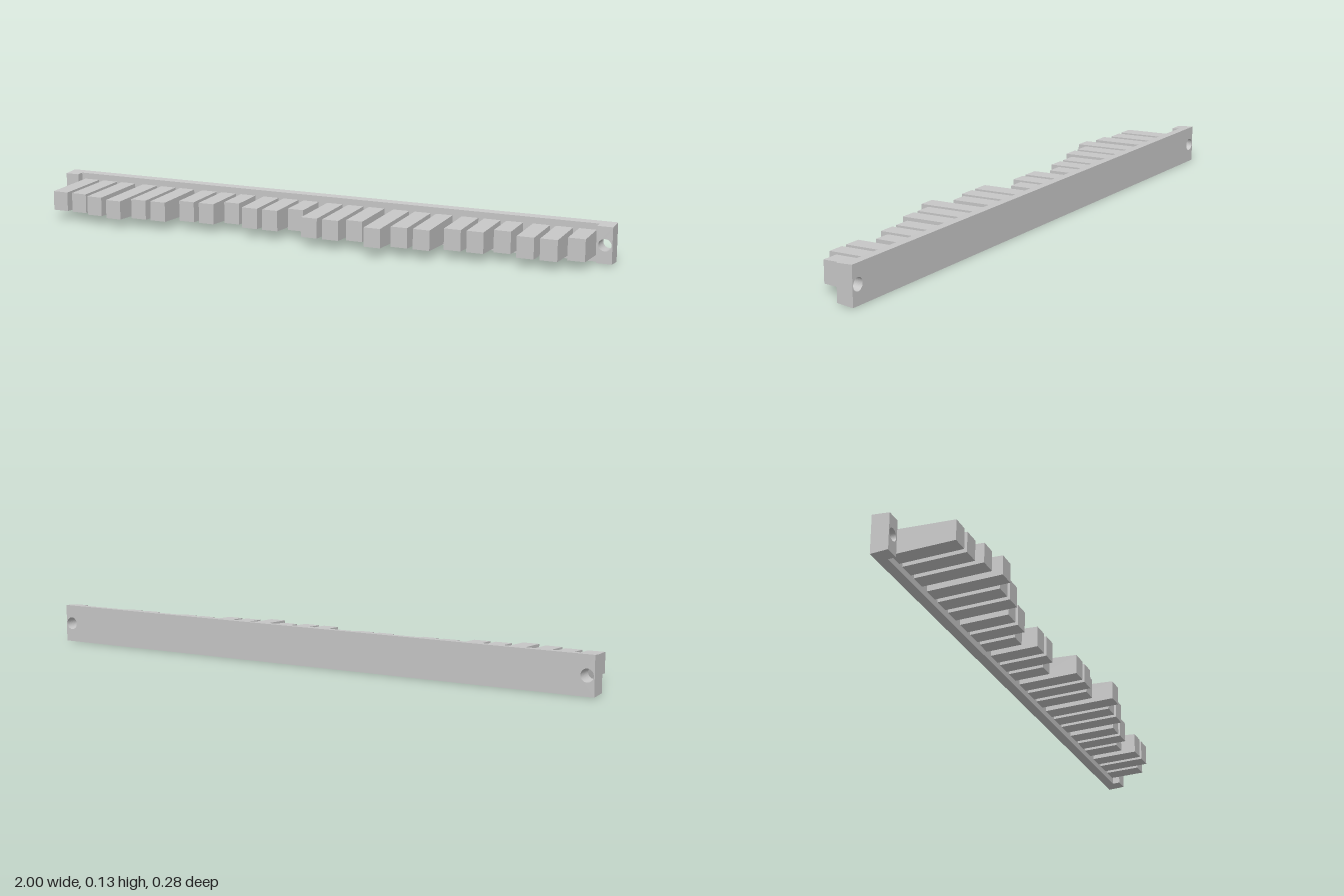
import * as THREE from 'three';

const MID_Y = 0.0635;   // mid height of the bar
const BACK_Z = -0.138;  // rear face of the bar
const PLATE_Z = -0.106; // front face of the bar
const TAB_Z = -0.081;   // front face of the end tabs
const HOLE_X = 0.976;

const grey = new THREE.MeshStandardMaterial({ color: 0xc7c7c7 });
grey.name = 'light grey plastic';

// Set each vertex's height from its depth, so the part narrows towards the front
function draft(geometry, halfAt) {
  const p = geometry.attributes.position;
  for (let i = 0; i < p.count; i++) p.setY(i, MID_Y + p.getY(i) * halfAt(p.getZ(i)));
  geometry.computeVertexNormals();
  return geometry;
}

// Drafted slab with round screw holes
function slab(x0, x1, z0, z1, holes) {
  const half = 0.0635;
  const shape = new THREE.Shape();
  shape.moveTo(x0, -half).lineTo(x1, -half).lineTo(x1, half).lineTo(x0, half).closePath();
  for (const hx of holes) {
    shape.holes.push(new THREE.Path().absarc(hx, 0, 0.021, 0, Math.PI * 2, true));
  }
  const g = new THREE.ExtrudeGeometry(shape, { depth: z1 - z0, bevelEnabled: false, curveSegments: 20 });
  g.translate(0, 0, z0);
  return draft(g, z => 1 - 1.15 * (z - BACK_Z));
}

export function createModel() {
  const model = new THREE.Group();
  model.name = 'toothedBar';
  const add = (geometry, name, parent = model) => {
    const mesh = new THREE.Mesh(geometry, grey);
    mesh.name = name;
    parent.add(mesh);
  };

  // Long backing bar and the raised tabs at its ends
  add(slab(-1, 1, BACK_Z, PLATE_Z, [-HOLE_X, HOLE_X]), 'backBar');
  add(slab(0.95, 1, PLATE_Z, TAB_Z, [HOLE_X]), 'leftEndTab');
  add(slab(-1, -0.95, PLATE_Z, TAB_Z, [-HOLE_X]), 'rightEndTab');

  // Eight sets of three teeth, given by the depth of each tip
  const tips = [
    [0.097, 0.097, 0.117], [0.138, 0.097, 0.097],
    [0.055, 0.055, 0.014], [0.055, 0.055, 0.014],
    [0.097, 0.097, 0.076], [0.138, 0.097, 0.097],
    [0.055, 0.055, 0.014], [0.055, 0.055, 0.014],
  ];
  tips.forEach((set, s) => {
    const group = new THREE.Group();
    group.name = `toothSet${s + 1}`;
    model.add(group);
    set.forEach((tip, t) => {
      const g = new THREE.BoxGeometry(0.056, 2, tip - PLATE_Z);
      g.translate(-0.908 + s * 0.2387 + t * 0.0753, 0, (tip + PLATE_Z) / 2);
      add(draft(g, z => 0.0405 - 0.037 * (z - PLATE_Z)), `tooth${t + 1}`, group);
    });
  });
  return model;
}
